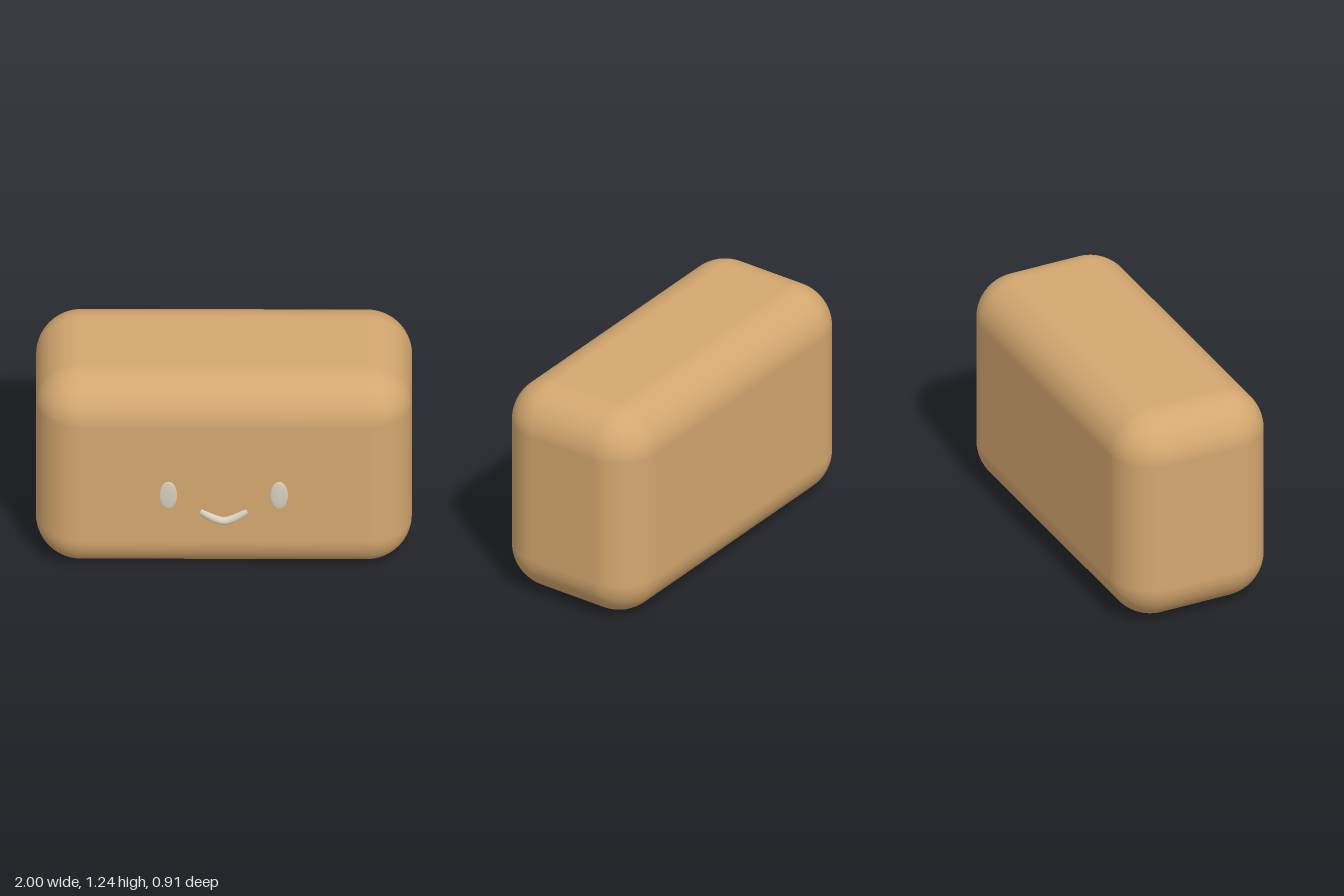
import * as THREE from 'three';
import { RoundedBoxGeometry } from 'three/addons/geometries/RoundedBoxGeometry.js';

export function createModel() {
  const model = new THREE.Group();
  model.name = 'smilingBlock';

  const tan = new THREE.MeshStandardMaterial({ color: 0xd4a76f });
  tan.name = 'tan';
  const cream = new THREE.MeshStandardMaterial({ color: 0xd6cebd });
  cream.name = 'cream';

  const add = (name, geometry, material, x, y, z) => {
    const mesh = new THREE.Mesh(geometry, material);
    mesh.name = name;
    mesh.position.set(x, y, z);
    model.add(mesh);
    return mesh;
  };

  // Soft rounded body
  add('body', new RoundedBoxGeometry(2, 1.235, 0.888, 10, 0.24), tan, 0, 0.6175, -0.011);

  // Flat oval eyes, slightly domed out of the face
  for (const side of [1, -1]) {
    const eye = add(side > 0 ? 'leftEye' : 'rightEye',
      new THREE.SphereGeometry(1, 32, 20), cream, side * 0.295, 0.545, 0.433);
    eye.scale.set(0.047, 0.091, 0.009);
  }

  // Smile: a tube bulging forward in the middle, with capped ends
  const radius = 0.025;
  const smile = new THREE.CatmullRomCurve3([
    new THREE.Vector3(-0.125, 0.436, 0.416),
    new THREE.Vector3(-0.06, 0.396, 0.426),
    new THREE.Vector3(0, 0.377, 0.43),
    new THREE.Vector3(0.06, 0.396, 0.426),
    new THREE.Vector3(0.125, 0.436, 0.416),
  ]);
  add('mouth', new THREE.TubeGeometry(smile, 24, radius, 16), cream, 0, 0, 0);
  for (const t of [0, 1]) {
    const p = smile.getPoint(t);
    const outward = smile.getTangent(t).multiplyScalar(t ? 1 : -1);
    const cap = add(t ? 'leftMouthEnd' : 'rightMouthEnd',
      new THREE.CircleGeometry(radius, 16), cream, p.x, p.y, p.z);
    cap.lookAt(p.clone().add(outward));
  }

  return model;
}
